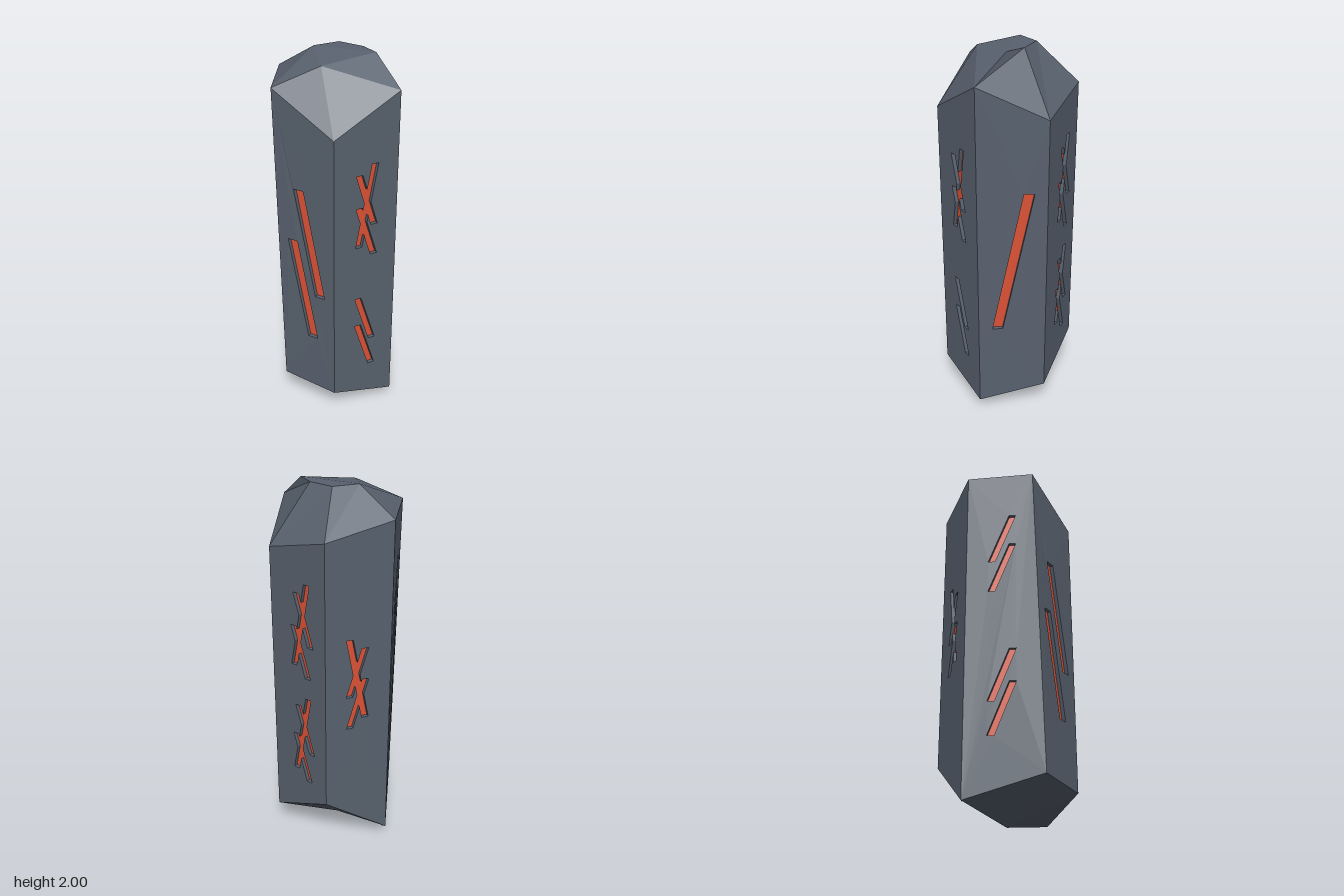
import * as THREE from 'three';

const APOTHEM = 0.3074, HALF = 0.1775, RADIUS = 0.355, DEPTH = 0.02;
const TOP_Y = [1.68, 1.87, 1.70, 1.79, 1.865, 1.87];
const LOW_Y = [0.16, 0.065, 0.155, 0.31, 0.065, 0.19];
const V = (x, y) => new THREE.Vector2(x, y);

// Slanted bar from [u, v] down to [u, v] with level ends
const bar = (u1, v1, u2, v2, h) => [V(u1 - h, v1), V(u1 + h, v1), V(u2 + h, v2), V(u2 - h, v2)];

// Outline of one long "/" stroke crossed by "\" strokes; flip mirrors it
function crossed(long, strokes, dv = 0, flip = 1) {
  const h = 0.018;
  const uAt = ([u1, v1, u2, v2], v) => u1 + (u2 - u1) * (v - v1) / (v2 - v1);
  // meeting point of edge a of the long stroke and edge b of a cross stroke
  const meet = (s, a, b) => {
    const d0 = uAt(long, 0) - uAt(s, 0), d1 = uAt(long, 1) - uAt(s, 1);
    const v = ((b - a) * h - d0) / (d1 - d0);
    return V(uAt(long, v) + a * h, v);
  };
  const [tl, tr, br, bl] = bar(...long, h);
  const pts = [tl, tr];
  for (const s of strokes) {
    const q = bar(...s, h);
    pts.push(meet(s, 1, 1), q[2], q[3], meet(s, 1, -1));
  }
  pts.push(br, bl);
  for (const s of [...strokes].reverse()) {
    const q = bar(...s, h);
    pts.push(meet(s, -1, -1), q[0], q[1], meet(s, -1, 1));
  }
  return pts.map(p => V(p.x * flip, p.y + dv));
}

const frontRune = crossed([0.049, 1.52, -0.037, 1.065],
  [[-0.037, 1.47, 0.049, 1.185], [-0.037, 1.29, 0.049, 1.01]]);
const backRune = dv => crossed([0.06, 1.555, -0.03, 1.10],
  [[-0.01, 1.50, 0.08, 1.22], [-0.03, 1.32, 0.06, 1.04]], dv);
const mirroredRune = crossed([0.047, 1.275, -0.04, 0.82],
  [[-0.036, 1.22, 0.047, 0.95], [-0.04, 1.045, 0.045, 0.765]], 0, -1);

// Carvings on each side, going round from the front corner toward +x
const SIDES = [
  { name: 'frontLeft', cuts: [frontRune, bar(-0.037, 0.75, 0.049, 0.47, 0.018), bar(-0.037, 0.575, 0.049, 0.295, 0.018)] },
  { name: 'left', cuts: [bar(0.084, 1.32, -0.077, 0.535, 0.027)] },
  { name: 'backLeft', cuts: [backRune(0), backRune(-0.635)] },
  { name: 'backRight', cuts: [mirroredRune] },
  {
    name: 'right', lowRight: 0.22, push: -0.027,
    cuts: [1.61, 1.435, 0.83, 0.655].map(v => bar(0.065, v, -0.045, v - 0.28, 0.018)),
  },
  {
    name: 'frontRight', lowLeft: -0.1325, push: 0.023,
    cuts: [bar(-0.03, 1.37, 0.091, 0.77, 0.028), bar(-0.07, 1.075, 0.046, 0.50, 0.028)],
  },
];

// Place a flat panel on its side, easing it toward the shifted lower corner
function place(geo, side, i, z) {
  const p = geo.attributes.position;
  const corner = side.lowRight ?? side.lowLeft;
  const far = side.lowRight ? -HALF : HALF;
  for (let k = 0; corner !== undefined && k < p.count; k++) {
    const across = THREE.MathUtils.clamp((p.getX(k) - far) / (corner - far), 0, 1);
    const down = THREE.MathUtils.clamp((1.87 - p.getY(k)) / 1.68, 0, 1);
    p.setZ(k, p.getZ(k) + side.push * across * down);
  }
  geo.translate(0, 0, z);
  geo.rotateY((i + 0.5) * Math.PI / 3);
  geo.computeVertexNormals();
  return geo;
}

function facets(triangles) {
  const geo = new THREE.BufferGeometry().setFromPoints(triangles.flat());
  geo.computeVertexNormals();
  return geo;
}

export function createModel() {
  const stone = new THREE.MeshStandardMaterial({ color: 0x58616e });
  stone.name = 'slate stone';
  stone.flatShading = true;
  const glow = new THREE.MeshStandardMaterial({ color: 0xdc5236 });
  glow.name = 'ember orange';

  const model = new THREE.Group();
  model.name = 'carvedCrystal';
  const add = (parent, name, geo, mat) => {
    const mesh = new THREE.Mesh(geo, mat);
    mesh.name = name;
    parent.add(mesh);
  };

  // Six sides with sunken carvings and coloured carving floors
  SIDES.forEach((side, i) => {
    const j = (i + 1) % 6;
    const group = new THREE.Group();
    group.name = side.name + 'Side';
    const shape = new THREE.Shape([
      V(-HALF, TOP_Y[i]), V(side.lowLeft ?? -HALF, LOW_Y[i]),
      V(side.lowRight ?? HALF, LOW_Y[j]), V(HALF, TOP_Y[j]),
    ]);
    shape.holes = side.cuts.map(c => new THREE.Path(c));
    const wall = new THREE.ExtrudeGeometry(shape, { depth: DEPTH, bevelEnabled: false });
    add(group, side.name + 'Wall', place(wall, side, i, APOTHEM - DEPTH), stone);
    side.cuts.forEach((c, k) => {
      const floor = new THREE.ShapeGeometry(new THREE.Shape(c));
      add(group, `${side.name}Carving${k + 1}`, place(floor, side, i, APOTHEM - DEPTH), glow);
    });
    model.add(group);
  });

  // Irregular cut top
  const P = (x, y, z) => new THREE.Vector3(x, y, z);
  const ring = ys => ys.map((y, i) =>
    P(RADIUS * Math.sin(i * Math.PI / 3), y, RADIUS * Math.cos(i * Math.PI / 3)));
  const [A, B, C, D, E, F] = ring(TOP_Y);
  const back = P(0, 2, -0.14), backL = P(0.12, 2, -0.07), peakL = P(0.185, 2, 0.02);
  const front = P(-0.07, 1.97, 0.147), backR = P(-0.12, 2, -0.07);
  add(model, 'crystalTip', facets([
    [A, B, front], [B, peakL, front], [B, C, backL], [B, backL, peakL],
    [C, D, back], [C, back, backL], [D, E, backR], [D, backR, back],
    [E, F, backR], [F, front, backR], [F, A, front],
    [backL, back, backR], [peakL, backL, backR], [front, peakL, backR],
  ]), stone);

  // Pointed underside, with one corner shifted
  const low = ring(LOW_Y);
  low[5].set(-0.28, 0.19, 0.22);
  const point = P(0, 0, 0);
  add(model, 'crystalBase', facets(low.map((p, i) => [point, low[(i + 1) % 6], p])), stone);

  return model;
}
